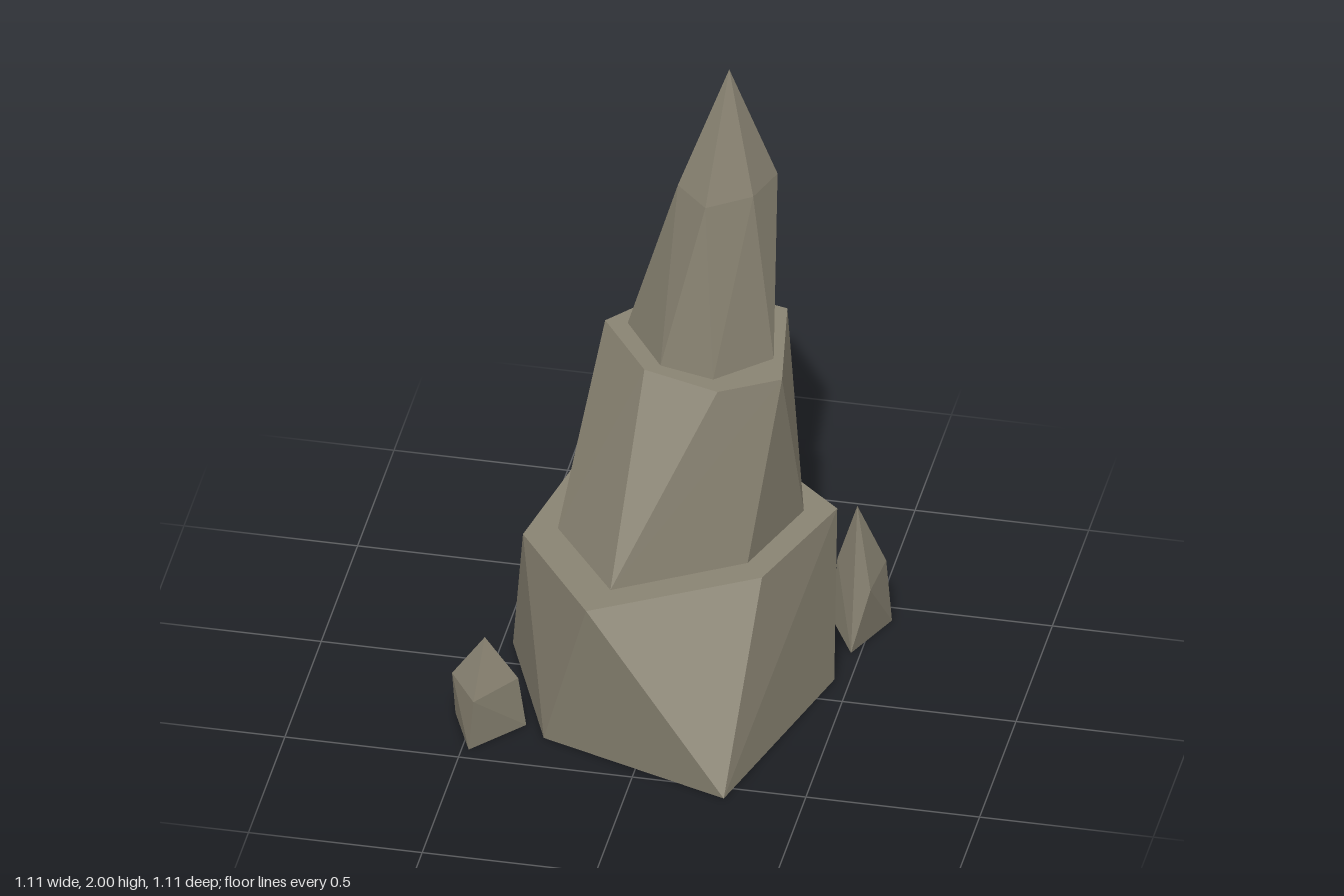
import * as THREE from 'three';
import { ConvexGeometry } from 'three/addons/geometries/ConvexGeometry.js';

const stone = new THREE.MeshStandardMaterial({ color: 0x8a8473 });
stone.name = 'stone';
stone.flatShading = true;

// One faceted rock: the hull of level rings, each given as [height, [[x, z], ...]]
function rock(name, rings) {
  const points = rings.flatMap(([y, ring]) => ring.map(([x, z]) => new THREE.Vector3(x, y, z)));
  const mesh = new THREE.Mesh(new ConvexGeometry(points), stone);
  mesh.name = name;
  return mesh;
}

export function createModel() {
  const group = new THREE.Group();
  group.name = 'rockSpire';

  group.add(
    // Three stacked tiers, each with its rings twisted against one another
    rock('lowerTier', [
      [0, [[-0.285, 0.355], [0.275, 0.555], [0.455, -0.105], [0.285, -0.54], [-0.245, -0.555], [-0.47, -0.105]]],
      [0.535, [[-0.39, 0.14], [-0.135, 0.49], [0.315, 0.22], [0.45, -0.17], [0.08, -0.5], [-0.3, -0.345]]],
    ]),
    rock('middleTier', [
      [0.535, [[-0.3, 0.09], [-0.09, 0.37], [0.26, 0.155], [0.36, -0.14], [0.065, -0.41], [-0.235, -0.285]]],
      [1.09, [[-0.215, -0.155], [-0.055, 0.07], [0.17, 0.14], [0.335, 0.04], [0.275, -0.32], [-0.02, -0.395]]],
    ]),
    rock('peak', [
      [1.09, [[-0.15, -0.155], [-0.015, 0.04], [0.145, 0.08], [0.29, -0.06], [0.235, -0.265], [0, -0.345]]],
      [1.625, [[0.01, -0.08], [0.11, 0.02], [0.23, -0.065], [0.273, -0.195], [0.13, -0.305], [0.018, -0.245]]],
      [2, [[0.147, -0.132]]],
    ]),
    // Small three-sided shards standing beside the base
    rock('rightShard', [
      [0, [[-0.555, 0.28], [-0.48, 0.457], [-0.347, 0.3]]],
      [0.165, [[-0.555, 0.327], [-0.465, 0.462], [-0.367, 0.315]]],
      [0.31, [[-0.457, 0.344]]],
    ]),
    rock('leftShard', [
      [0, [[0.38, -0.418], [0.473, -0.248], [0.552, -0.435]]],
      [0.205, [[0.4, -0.41], [0.525, -0.268], [0.537, -0.428]]],
      [0.42, [[0.467, -0.365]]],
    ]),
  );
  return group;
}
